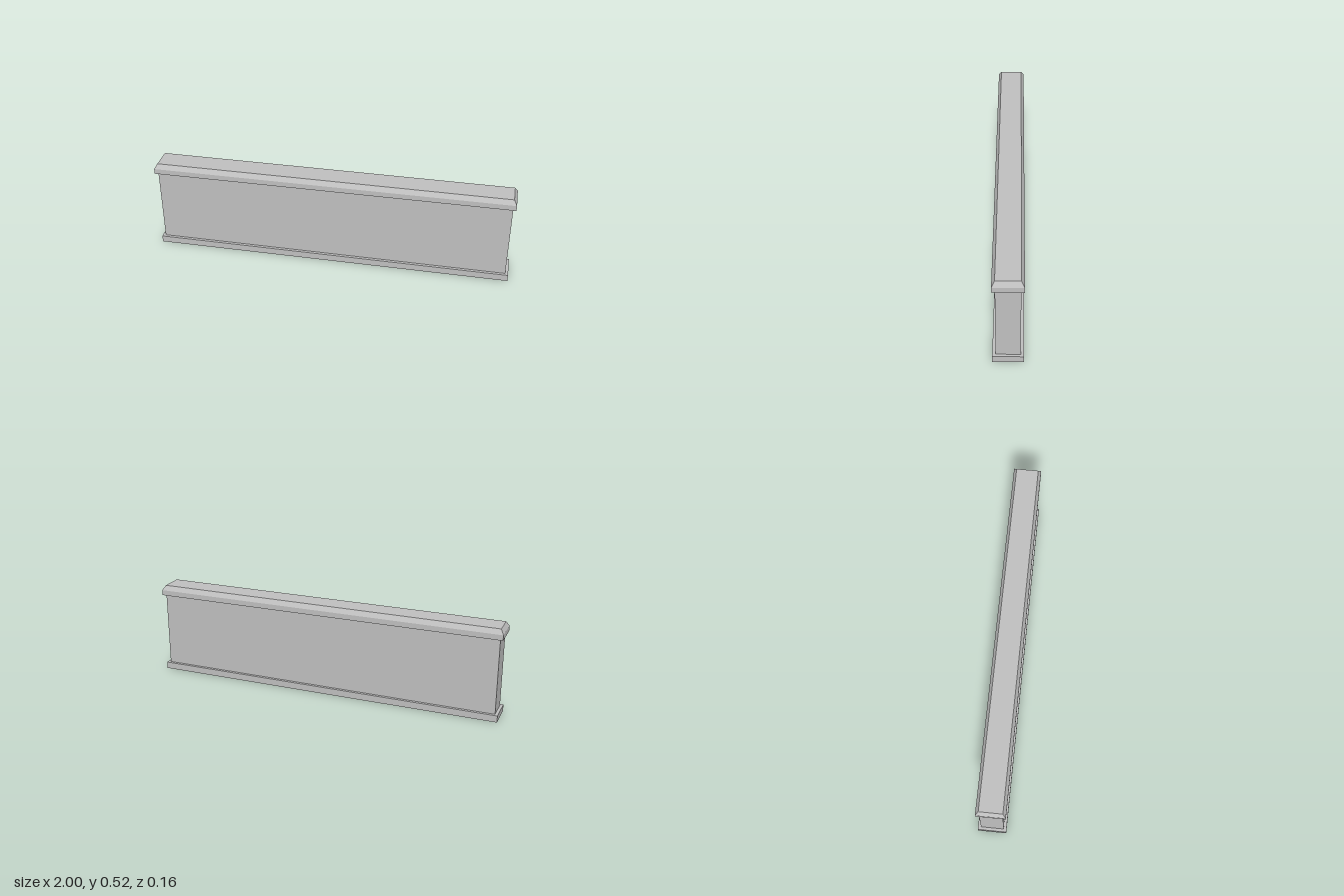
import * as THREE from 'three';

const LENGTH = 2, DEPTH = 0.156, INSET = 0.016;

export function createModel() {
  const group = new THREE.Group();
  const stone = new THREE.MeshStandardMaterial({ color: 0xc0c0c0 });
  stone.name = 'grey stone';

  // Box standing between two heights, optionally narrowed towards its top
  function slab(name, y0, y1, inset = 0, topInset = inset) {
    const geo = new THREE.BoxGeometry(LENGTH, y1 - y0, DEPTH).toNonIndexed();
    const p = geo.attributes.position;
    for (let i = 0; i < p.count; i++) {
      const d = p.getY(i) > 0 ? topInset : inset;
      p.setX(i, p.getX(i) - Math.sign(p.getX(i)) * d);
      p.setZ(i, p.getZ(i) - Math.sign(p.getZ(i)) * d);
    }
    geo.computeVertexNormals();
    const mesh = new THREE.Mesh(geo, stone);
    mesh.name = name;
    mesh.position.y = (y0 + y1) / 2;
    group.add(mesh);
  }

  slab('basePlinth', 0, 0.038);
  slab('wallPanel', 0.038, 0.461, INSET);
  slab('copingBand', 0.461, 0.491);
  slab('copingBevel', 0.491, 0.518, 0, INSET); // chamfered on all four sides

  group.name = 'lowWall';
  return group;
}
